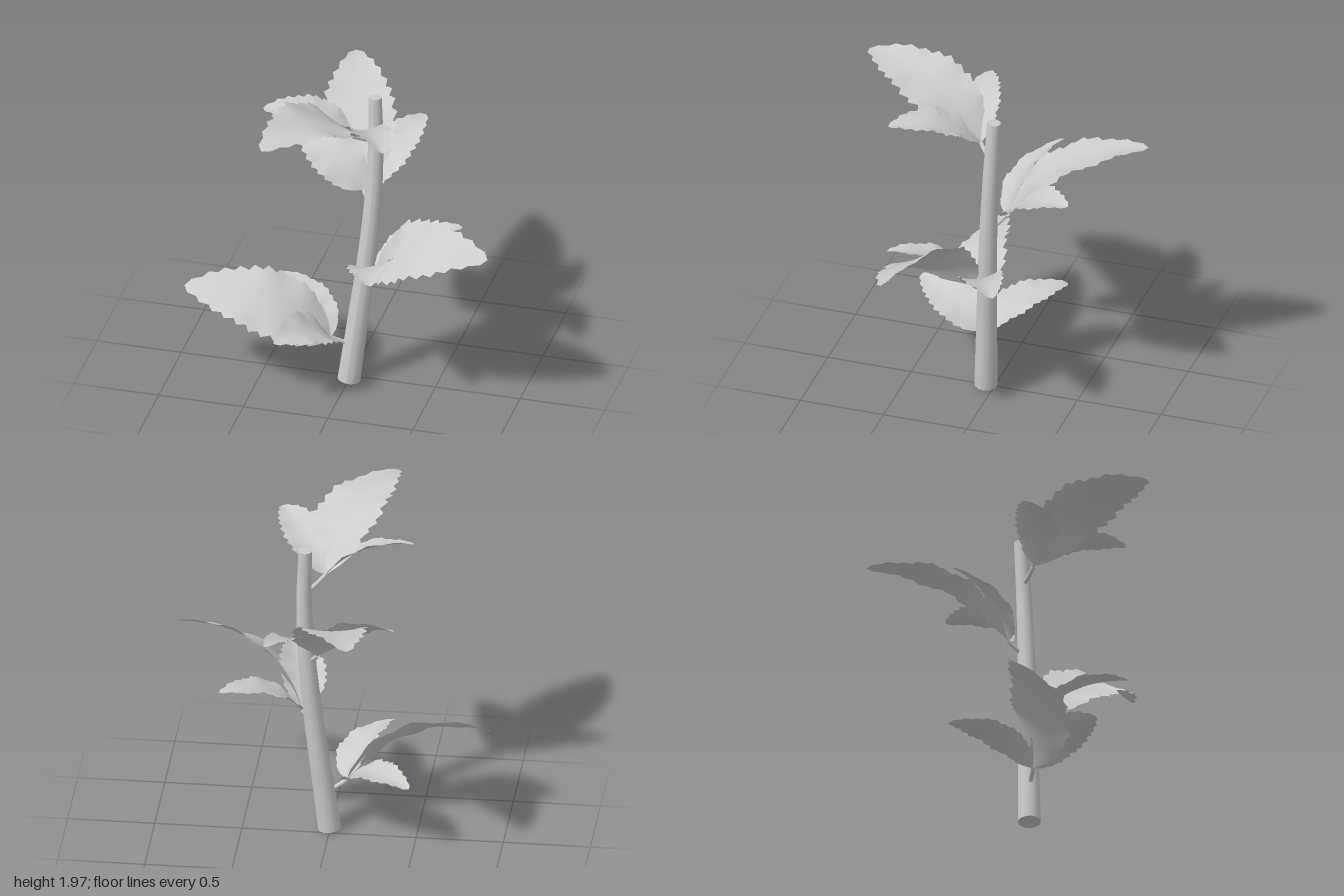
import * as THREE from 'three';

const V = (a) => new THREE.Vector3(...a);

// Leaf: rows along an arched midrib, saw-toothed wavy rim, halves folded gently upward.
function leafGeometry(base, tip, up, halfWidth, arch, fold, teeth) {
  const chord = tip.clone().sub(base);
  const side = up.clone().cross(chord).normalize();
  const lift = chord.clone().cross(side).normalize();
  const control = base.clone().lerp(tip, 0.45).addScaledVector(lift, arch * chord.length());
  const rib = new THREE.QuadraticBezierCurve3(base, control, tip);
  const rows = teeth * 2, cols = 8, positions = [], index = [];
  for (let i = 0; i <= rows; i++) {
    const t = i / rows;
    const centre = rib.getPoint(t);
    const tangent = rib.getTangent(t);
    const normal = tangent.clone().cross(side).normalize();
    const profile = Math.pow(Math.max(0, Math.sin(Math.PI * Math.pow(t, 0.84))), 0.72);
    const out = i % 2 === 1;
    for (let j = 0; j <= cols; j++) {
      const u = (j / cols) * 2 - 1, a = Math.abs(u);
      const rim = a > 0.99 && i > 0 && i < rows;
      const w = halfWidth * profile * (rim ? (out ? 1.04 : 0.9) : 0.95);
      const ripple = Math.sin(t * 22 + (u > 0 ? 0 : 2)) * 0.05 * a * a;
      const p = centre.clone().addScaledVector(side, u * w)
        .addScaledVector(normal, halfWidth * profile * (fold * Math.pow(a, 1.6) + ripple));
      if (rim && out) p.addScaledVector(tangent, chord.length() * 0.018);
      positions.push(p.x, p.y, p.z);
      if (i < rows && j < cols) {
        const k = i * (cols + 1) + j, n = k + cols + 1;
        index.push(k, k + 1, n, k + 1, n + 1, n);
      }
    }
  }
  const g = new THREE.BufferGeometry();
  g.setAttribute('position', new THREE.Float32BufferAttribute(positions, 3));
  g.setIndex(index);
  g.computeVertexNormals();
  return g;
}

// Each sprig: stem joint, leaf base, then large leaf and two small leaves.
// Each leaf: tip, facing direction, half width, arch, fold.
const SPRIGS = [
  { joint: [0.03, 0.24, 0.04], base: [-0.09, 0.3, 0.1], leaves: [
    [[-0.92, 0.59, 0.23], [0.4, 0.8, 0.53], 0.215, 0.34, 0.06],
    [[-0.49, 0.46, -0.28], [0.38, 0.87, 0.18], 0.12, 0.25, 0.2],
    [[-0.31, 0.47, 0.54], [0.5, 0.8, -0.2], 0.14, 0.27, 0.2]] },
  { joint: [0.09, 0.7, 0.015], base: [0.16, 0.75, 0.07], leaves: [
    [[0.91, 1.12, 0.38], [-0.53, 0.75, 0.38], 0.215, 0.36, 0.06],
    [[0.61, 0.97, -0.19], [-0.35, 0.87, 0.22], 0.13, 0.25, 0.2],
    [[0.27, 0.95, 0.56], [-0.3, 0.85, -0.35], 0.14, 0.25, 0.24]] },
  { joint: [0.12, 1.11, -0.005], base: [0.053, 1.19, -0.09], leaves: [
    [[-0.2, 1.64, -0.86], [0.09, 0.8, 0.5], 0.21, 0.28, 0.1],
    [[0.3, 1.47, -0.54], [-0.1, 0.75, 0.6], 0.14, 0.23, 0.2],
    [[-0.4, 1.48, -0.29], [0.25, 0.65, 0.7], 0.145, 0.25, 0.16]] },
  { joint: [0.13, 1.56, -0.03], base: [0.03, 1.63, 0.07], leaves: [
    [[-0.3, 1.92, 0.85], [0.3, 0.85, -0.35], 0.215, 0.31, 0.08],
    [[-0.47, 1.8, 0.18], [0.3, 0.85, 0.25], 0.13, 0.25, 0.2],
    [[0.33, 1.82, 0.53], [-0.1, 0.85, -0.4], 0.13, 0.25, 0.24]] },
];

export function createModel() {
  const plant = new THREE.Group();
  plant.name = 'plant';
  const grey = new THREE.MeshStandardMaterial({ color: 0xcccccc, side: THREE.DoubleSide });
  grey.name = 'plain grey';
  const add = (geometry, name, parent = plant) => {
    const mesh = new THREE.Mesh(geometry, grey);
    mesh.name = name;
    parent.add(mesh);
  };

  // Tapered stem bent along a gentle curve, its foot cut slightly on the slant
  const path = new THREE.CatmullRomCurve3([
    [0.003, 0.012, 0.05], [0.05, 0.4, 0.03], [0.097, 0.8, 0.01],
    [0.13, 1.2, -0.01], [0.14, 1.52, -0.026], [0.132, 1.84, -0.042]].map(V));
  const stem = new THREE.CylinderGeometry(0.039, 0.066, 1, 16, 24);
  const pos = stem.attributes.position;
  for (let i = 0; i < pos.count; i++) {
    const t = pos.getY(i) + 0.5, c = path.getPoint(t), d = path.getTangent(t);
    const x = pos.getX(i), z = pos.getZ(i);
    pos.setXYZ(i, c.x + x, c.y - x * d.x - z * d.z, c.z + z);
  }
  stem.computeVertexNormals();
  add(stem, 'stem');

  // Leaf stalks and leaves
  SPRIGS.forEach(({ joint, base, leaves }) => {
    const sprig = new THREE.Group();
    sprig.name = 'sprig';
    plant.add(sprig);
    const start = V(joint), end = V(base);
    const bend = start.clone().lerp(end, 0.5).add(V([0, -0.008, 0]));
    add(new THREE.TubeGeometry(new THREE.QuadraticBezierCurve3(start, bend, end), 6, 0.013, 8), 'leafStalk', sprig);
    leaves.forEach(([tip, up, halfWidth, arch, fold], i) => {
      const geometry = leafGeometry(end, V(tip), V(up), halfWidth, arch, fold, i ? 11 : 12);
      add(geometry, i ? 'smallLeaf' : 'largeLeaf', sprig);
    });
  });
  return plant;
}
